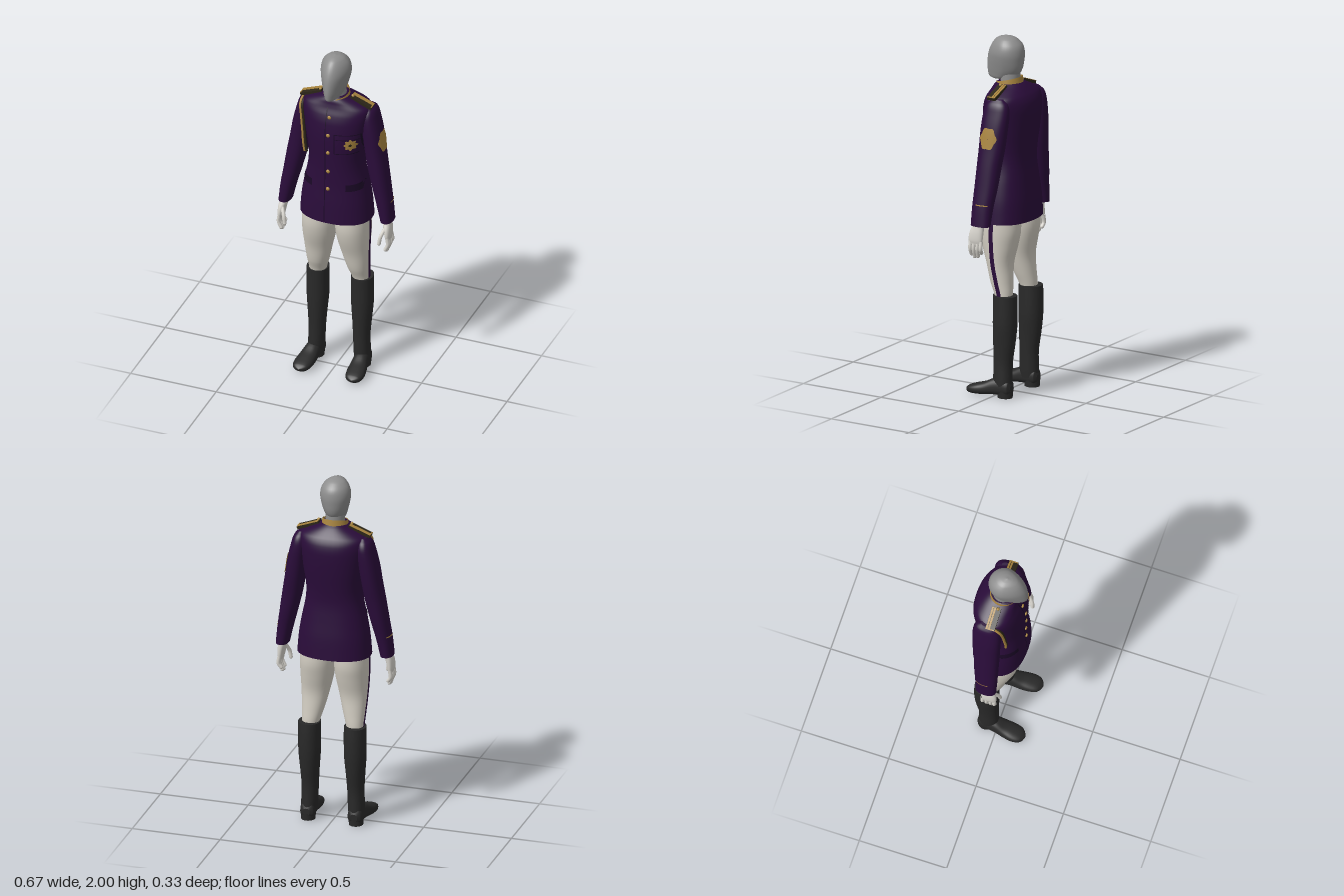
import * as THREE from 'three';
import { mergeGeometries } from 'three/addons/utils/BufferGeometryUtils.js';

const mat = (name, color, side = THREE.FrontSide) => {
  const m = new THREE.MeshStandardMaterial({ color, side });
  m.name = name;
  return m;
};

// Section row: [y, centreX, centreZ, halfWidth, frontDepth, backDepth], y ascending
const TORSO = [
  [0.985, 0, -0.02, 0.205, 0.15, 0.145], [1.1, 0, -0.02, 0.195, 0.145, 0.14],
  [1.2, 0, -0.02, 0.178, 0.138, 0.13], [1.3, 0, -0.02, 0.158, 0.135, 0.122],
  [1.38, 0, -0.02, 0.155, 0.135, 0.126], [1.5, 0, -0.02, 0.172, 0.137, 0.14],
  [1.6, 0, -0.02, 0.188, 0.128, 0.146], [1.65, 0, -0.02, 0.195, 0.115, 0.14],
  [1.685, 0, -0.02, 0.188, 0.1, 0.125], [1.71, 0, -0.02, 0.145, 0.092, 0.105],
  [1.735, 0, -0.02, 0.09, 0.085, 0.08], [1.75, 0, -0.02, 0.06, 0.07, 0.06]];
const SLEEVE = [
  [1.0, 0.298, -0.012, 0.035, 0.058, 0.058], [1.1, 0.281, -0.014, 0.042, 0.06, 0.062],
  [1.2, 0.26, -0.02, 0.048, 0.064, 0.068], [1.32, 0.236, -0.026, 0.054, 0.068, 0.072],
  [1.42, 0.219, -0.032, 0.054, 0.072, 0.078], [1.53, 0.202, -0.036, 0.053, 0.075, 0.082],
  [1.62, 0.186, -0.04, 0.047, 0.072, 0.08], [1.665, 0.182, -0.042, 0.036, 0.058, 0.065],
  [1.69, 0.178, -0.044, 0.016, 0.03, 0.035]];
const LEG = [
  [0.54, 0.128, -0.05, 0.045, 0.045, 0.045], [0.58, 0.125, -0.05, 0.049, 0.05, 0.05],
  [0.65, 0.117, -0.035, 0.062, 0.065, 0.06], [0.75, 0.108, -0.018, 0.078, 0.073, 0.073],
  [0.85, 0.1, -0.012, 0.092, 0.1, 0.1], [0.93, 0.097, -0.012, 0.097, 0.115, 0.115],
  [1.02, 0.095, -0.012, 0.095, 0.112, 0.112]];
const BOOT = [
  [0.05, 0.135, -0.05, 0.043, 0.05, 0.055], [0.1, 0.133, -0.05, 0.045, 0.055, 0.055],
  [0.2, 0.13, -0.05, 0.046, 0.053, 0.055], [0.3, 0.13, -0.055, 0.052, 0.06, 0.065],
  [0.4, 0.13, -0.06, 0.06, 0.066, 0.07], [0.5, 0.13, -0.062, 0.061, 0.067, 0.07],
  [0.575, 0.13, -0.062, 0.061, 0.067, 0.067]];
// The foot runs along z: [z, centreX, -centreY, halfWidth, down, up]
const FOOT = [
  [-0.108, 0.135, -0.05, 0.02, 0.02, 0.02], [-0.095, 0.135, -0.05, 0.038, 0.035, 0.05],
  [-0.05, 0.137, -0.05, 0.042, 0.038, 0.06], [0, 0.142, -0.045, 0.044, 0.034, 0.056],
  [0.05, 0.147, -0.036, 0.05, 0.03, 0.042], [0.1, 0.152, -0.032, 0.052, 0.028, 0.031],
  [0.14, 0.154, -0.03, 0.042, 0.024, 0.02], [0.158, 0.155, -0.028, 0.022, 0.014, 0.01],
  [0.165, 0.155, -0.028, 0.003, 0.003, 0.002]];
const HEAD = [
  [1.752, 0, 0.07, 0.022, 0.03, 0.03], [1.76, 0, 0.045, 0.04, 0.075, 0.06],
  [1.785, 0, 0.02, 0.054, 0.108, 0.08], [1.82, 0, 0.005, 0.067, 0.125, 0.087],
  [1.87, 0, 0, 0.08, 0.126, 0.091], [1.91, 0, 0, 0.085, 0.116, 0.092],
  [1.95, 0, 0, 0.076, 0.097, 0.082], [1.98, 0, 0.004, 0.054, 0.068, 0.058],
  [1.994, 0, 0.007, 0.03, 0.038, 0.034], [2.0, 0, 0.01, 0.004, 0.005, 0.005]];
const PALM = [
  [0.895, 0.314, 0.01, 0.011, 0.038, 0.038], [0.92, 0.313, 0.01, 0.017, 0.044, 0.042],
  [0.96, 0.308, 0.006, 0.021, 0.044, 0.04], [1.0, 0.3, 0, 0.023, 0.033, 0.035],
  [1.03, 0.297, -0.005, 0.023, 0.032, 0.035]];
const NECK = [[1.69, 0, -0.012, 0.055, 0.055, 0.055], [1.8, 0, -0.012, 0.052, 0.052, 0.056]];
const COLLAR = [[1.71, 0, -0.01, 0.078, 0.082, 0.077], [1.76, 0, -0.01, 0.07, 0.074, 0.07]];

// Smoothly interpolated section at height y
function section(rows, y) {
  let i = 0;
  while (i < rows.length - 2 && y > rows[i + 1][0]) i++;
  const a = rows[i], b = rows[i + 1], h = b[0] - a[0];
  const u = THREE.MathUtils.clamp((y - a[0]) / h, 0, 1);
  const p = rows[Math.max(i - 1, 0)], q = rows[Math.min(i + 2, rows.length - 1)];
  return a.map((v, k) => {
    if (k === 0) return y;
    const m0 = (b[k] - p[k]) / (b[0] - p[0]) * h, m1 = (q[k] - v) / (q[0] - a[0]) * h;
    const u2 = u * u, u3 = u2 * u;
    return (2 * u3 - 3 * u2 + 1) * v + (u3 - 2 * u2 + u) * m0 + (3 * u2 - 2 * u3) * b[k] + (u3 - u2) * m1;
  });
}

// Skin of superellipse sections; taper narrows the front
function loft(rows, { n = 2.3, segs = 36, steps = 4, taper = 0, caps = true } = {}) {
  const pos = [], idx = [], rings = [];
  for (let i = 0; i < rows.length - 1; i++)
    for (let s = 0; s < steps; s++) rings.push(THREE.MathUtils.lerp(rows[i][0], rows[i + 1][0], s / steps));
  rings.push(rows[rows.length - 1][0]);
  const addRing = y => {
    const [, cx, cz, rx, f, b] = section(rows, y);
    for (let j = 0; j < segs; j++) {
      const a = j / segs * Math.PI * 2, c = Math.cos(a), s = Math.sin(a);
      const pw = v => Math.sign(v) * Math.abs(v) ** (2 / n);
      pos.push(cx + rx * pw(c) * (1 - taper * Math.max(0, s)), y, cz + (s > 0 ? f : b) * pw(s));
    }
  };
  rings.forEach(addRing);
  for (let i = 0; i < rings.length - 1; i++)
    for (let j = 0; j < segs; j++) {
      const a = i * segs + j, b = i * segs + (j + 1) % segs;
      idx.push(a, a + segs, b, b, a + segs, b + segs);
    }
  if (caps) [0, rings.length - 1].forEach(r => {
    const start = pos.length / 3;
    addRing(rings[r]);
    const [y, cx, cz] = section(rows, rings[r]);
    pos.push(cx, y, cz);
    for (let j = 0; j < segs; j++) {
      const a = start + j, b = start + (j + 1) % segs;
      idx.push(start + segs, r ? b : a, r ? a : b);
    }
  });
  const g = new THREE.BufferGeometry();
  g.setAttribute('position', new THREE.Float32BufferAttribute(pos, 3));
  g.setIndex(idx);
  g.computeVertexNormals();
  return g;
}

// Lay a flat piece on the front or the outer side of a lofted skin
function wrap(g, rows, side, off = 0.004, n = 2.3) {
  const p = g.attributes.position, arc = t => Math.max(0, 1 - Math.abs(t) ** n) ** (1 / n);
  for (let i = 0; i < p.count; i++) {
    const u = p.getX(i), v = p.getY(i), [, cx, cz, rx, f, b] = section(rows, v);
    if (side) p.setXYZ(i, cx + rx * arc(u / (u < 0 ? f : b)) + off, v, cz - u);
    else p.setXYZ(i, u, v, cz + f * arc((u - cx) / rx) + off);
  }
  g.computeVertexNormals();
  return g;
}
const strip = (w, h, x, y) => new THREE.PlaneGeometry(w, h, 8, 16).translate(x, y, 0);
function scalloped(r, x, y, lobes, depth, tall = 1) {
  const g = new THREE.RingGeometry(0.001, r, 48, 5), p = g.attributes.position;
  for (let i = 0; i < p.count; i++) {
    const k = 1 + depth * Math.cos(lobes * Math.atan2(p.getY(i), p.getX(i)));
    p.setXY(i, p.getX(i) * k + x, p.getY(i) * k * tall + y);
  }
  return g;
}
function mirrored(g) {
  const m = g.clone().scale(-1, 1, 1), ix = m.index;
  for (let i = 0; i < ix.count; i += 3) {
    const t = ix.getX(i);
    ix.setX(i, ix.getX(i + 1));
    ix.setX(i + 1, t);
  }
  m.computeVertexNormals();
  return m;
}
function limb(points, r) {
  return new THREE.TubeGeometry(new THREE.CatmullRomCurve3(points.map(p => new THREE.Vector3(...p))), 16, r, 10);
}

export function createModel() {
  const model = new THREE.Group();
  model.name = 'uniformedFigure';
  const jacket = mat('jacketPurple', 0x2a0c3a), seam = mat('seamPurple', 0x1a0826);
  const white = mat('breechesWhite', 0xd2cdc2), glove = mat('gloveWhite', 0xd8d5ce);
  const gold = mat('gold', 0xa9853f, THREE.DoubleSide), braid = mat('darkBraid', 0x2c2618);
  const leather = mat('bootBlack', 0x292929), grey = mat('headGrey', 0x8e8e8e);
  const add = (name, g, m) => {
    const mesh = new THREE.Mesh(g, m);
    mesh.name = name;
    model.add(mesh);
    return mesh;
  };
  const pair = (name, g, m) => {
    add(name + 'Left', g, m);
    add(name + 'Right', mirrored(g), m);
  };

  // Head, neck and tilted collar with a front notch
  add('head', loft(HEAD, { n: 2, taper: 0.22 }), grey);
  add('neck', loft(NECK, { n: 2 }), grey);
  const collar = loft(COLLAR, { n: 2, caps: false }), cp = collar.attributes.position;
  for (let i = 0; i < cp.count; i++) {
    const x = cp.getX(i), y = cp.getY(i), z = cp.getZ(i);
    const notch = z > 0 ? Math.max(0, 1 - Math.abs(x) / 0.025) * (y - 1.71) * 0.8 : 0;
    cp.setY(i, y - 0.25 * z - notch);
  }
  collar.computeVertexNormals();
  add('collar', collar, gold);

  // Jacket with front seam, pockets and buttons
  add('jacketBody', loft(TORSO, { segs: 48 }), jacket);
  pair('sleeve', loft(SLEEVE), jacket);
  add('frontSeam', wrap(strip(0.005, 0.7, -0.018, 1.345), TORSO, false, 0.003), seam);
  add('chestPocket', mergeGeometries([
    strip(0.13, 0.005, 0.1, 1.55), strip(0.13, 0.005, 0.1, 1.43), strip(0.13, 0.004, 0.1, 1.52),
    strip(0.005, 0.12, 0.035, 1.49), strip(0.005, 0.12, 0.165, 1.49),
  ].map(g => wrap(g, TORSO, false, 0.003))), seam);
  pair('hipFlap', wrap(strip(0.075, 0.04, 0.135, 1.215), TORSO, false, 0.007), seam);
  [1.645, 1.54, 1.43, 1.31, 1.2].forEach((y, i) => {
    const r = section(TORSO, y);
    add('button' + (i + 1), new THREE.SphereGeometry(0.011, 14, 10).scale(1, 1, 0.6), gold)
      .position.set(0, y, r[2] + r[4] + 0.003);
  });

  // Chest badge, sleeve patch and cuff braid
  add('chestBadge', wrap(scalloped(0.029, 0.12, 1.49, 8, 0.15, 1.1), TORSO, false, 0.006), gold);
  add('badgeCentre', wrap(scalloped(0.008, 0.12, 1.49, 6, 0.1), TORSO, false, 0.009), braid);
  add('sleevePatch', wrap(scalloped(0.05, 0, 1.485, 6, 0.07, 1.2), SLEEVE, true), gold);
  pair('cuffBraid', wrap(strip(0.07, 0.006, 0.015, 1.12), SLEEVE, true, 0.003), gold);

  // Shoulder boards: dark base, gold bars and a button
  const board = (w, h, d, x, y, z) => new THREE.BoxGeometry(w, h, d).translate(x, y, z)
    .rotateZ(-0.36).translate(0.145, 1.716, -0.02);
  pair('shoulderBoard', board(0.132, 0.016, 0.052, 0, 0, 0), braid);
  pair('shoulderBars', mergeGeometries([-0.019, -0.006].map(z => board(0.124, 0.006, 0.01, 0, 0.008, z))
    .concat(board(0.006, 0.006, 0.046, 0.062, 0.008, 0))), gold);
  pair('shoulderButton', new THREE.SphereGeometry(0.009, 12, 8).translate(0.095, 1.745, -0.01), gold);

  // Twisted cord on the right shoulder
  [gold, braid].forEach((m, k) => {
    const path = [[-0.186, 1.69, -0.02], [-0.19, 1.66, 0.03], [-0.179, 1.58, 0.046],
      [-0.17, 1.5, 0.052], [-0.162, 1.42, 0.058], [-0.155, 1.37, 0.056]];
    add(k ? 'cordDark' : 'cordGold', limb(path.map(([x, y, z]) => [x + (k ? 0.006 : -0.006), y, z]), 0.007), m);
  });

  // Gloved hands
  const digits = [0.042, 0.02, -0.003, -0.025].map((z, i) => {
    const tip = [0.832, 0.82, 0.824, 0.845][i];
    return [[0.314, 0.915, z], [0.319, 0.87, z], [0.305, tip + 0.004, z * 0.95 + 0.002]];
  });
  digits.push([[0.3, 0.965, 0.035], [0.283, 0.92, 0.058], [0.276, 0.88, 0.062]]);
  const hand = digits.flatMap(d => [limb(d, 0.0105),
    new THREE.SphereGeometry(0.0105, 10, 8).translate(...d[2])]);
  pair('hand', mergeGeometries(hand), glove);
  pair('palm', loft(PALM, { segs: 24 }), glove);

  // Breeches with side stripes
  pair('breechesLeg', loft(LEG, { n: 2.1 }), white);
  pair('sideStripe', wrap(strip(0.026, 0.42, 0, 0.78), LEG, true, 0.003, 2.1), jacket);

  // Riding boots
  pair('bootShaft', loft(BOOT, { n: 2.1 }), leather);
  pair('bootFoot', loft(FOOT, { n: 2.4 }).rotateX(Math.PI / 2), leather);
  pair('bootHeel', new THREE.CylinderGeometry(0.041, 0.039, 0.04, 24).scale(1, 1, 1.08)
    .translate(0.136, 0.02, -0.066), leather);
  return model;
}
